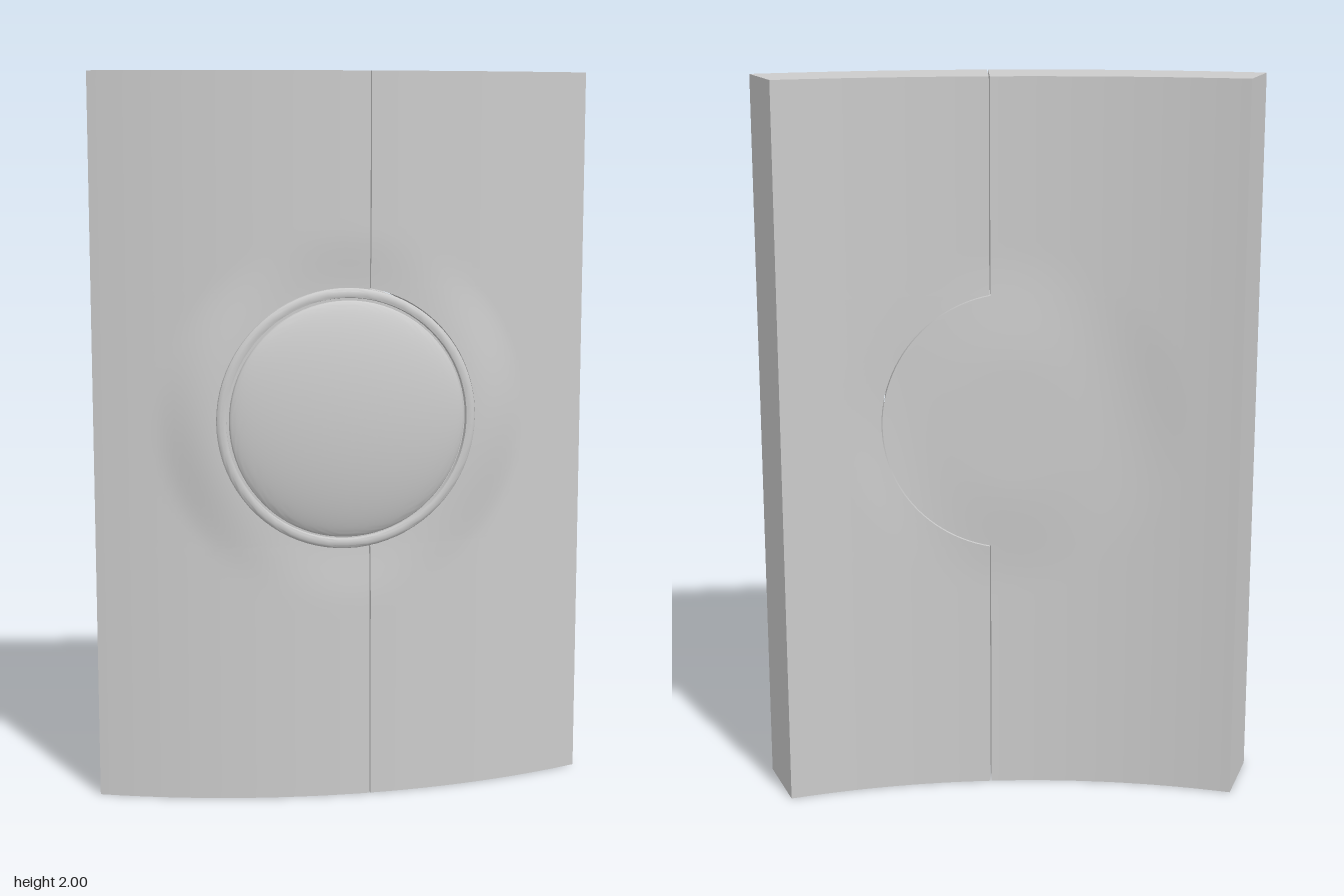
import * as THREE from 'three';
import { toCreasedNormals } from 'three/addons/utils/BufferGeometryUtils.js';

const CX = -0.01, CY = 1.065; // centre of the round boss
const HALF_FRONT = 0.69, HALF_BACK = 0.62;
const lerp = THREE.MathUtils.lerp, smooth = THREE.MathUtils.smoothstep;
const arc = (x, r, top) => top - r + Math.sqrt(r * r - x * x);

// Curved faces of the door, flattened around the boss
function frontZ(x, y) {
  const w = 1 - smooth(Math.hypot(x - CX, y - CY), 0.33, 0.52);
  return lerp(arc(x, 1.896, 0.13), 0.119, w);
}
function backZ(x, y) {
  const w = 1 - smooth(Math.hypot(x - CX, y - CY), 0.15, 0.48);
  return lerp(arc(x, 1.97, -0.1), -0.115, w);
}

// Row heights and seam positions: straight, round the boss, straight
function seamRows(seamX, radius) {
  const rows = [], a0 = Math.acos((seamX - CX) / radius), h = radius * Math.sin(a0);
  for (let i = 0; i < 24; i++) rows.push([(CY - h) * i / 24, seamX]);
  for (let i = 0; i <= 48; i++) {
    const a = lerp(-a0, a0, i / 48);
    rows.push([CY + radius * Math.sin(a), CX + radius * Math.cos(a)]);
  }
  for (let i = 1; i <= 24; i++) rows.push([lerp(CY + h, 2, i / 24), seamX]);
  return rows;
}

// Solid leaf: one closed cross-section per row, capped at top and bottom
function leafGeometry(side, seamX, radius) {
  const n = 44, L = 2 * (n + 1), pos = [], idx = [];
  const rows = seamRows(seamX, radius);
  for (const [y, seam] of rows) {
    const span = (half, t) => side < 0 ? lerp(-half, seam, t) : lerp(seam, half, t);
    for (let i = 0; i <= n; i++) {
      const x = span(HALF_FRONT, i / n);
      pos.push(x, y, frontZ(x, y));
    }
    for (let i = n; i >= 0; i--) {
      const x = span(HALF_BACK, i / n);
      pos.push(x, y, backZ(x, y));
    }
  }
  const quad = (a, b, c, d) => idx.push(a, b, c, a, c, d);
  for (let j = 0; j < rows.length - 1; j++) {
    for (let i = 0; i < L; i++) {
      const k = (i + 1) % L;
      quad(j * L + i, j * L + k, (j + 1) * L + k, (j + 1) * L + i);
    }
  }
  const top = (rows.length - 1) * L;
  for (let i = 0; i < n; i++) {
    quad(top + i, top + i + 1, top + L - 2 - i, top + L - 1 - i);
    quad(i, L - 1 - i, L - 2 - i, i + 1);
  }
  const g = new THREE.BufferGeometry();
  g.setAttribute('position', new THREE.Float32BufferAttribute(pos, 3));
  g.setIndex(idx);
  return toCreasedNormals(g, 0.6);
}

// Turned part whose axis points to the front
function turned(points) {
  const g = new THREE.LatheGeometry(points.map(([r, z]) => new THREE.Vector2(r, z)), 80);
  g.rotateX(Math.PI / 2);
  g.translate(CX, CY, 0);
  return toCreasedNormals(g, 0.6);
}

export function createModel() {
  const group = new THREE.Group();
  const material = new THREE.MeshStandardMaterial({ color: 0xcccccc });
  const add = (name, geometry) => {
    const mesh = new THREE.Mesh(geometry, material);
    mesh.name = name;
    group.add(mesh);
  };

  // Two door leaves that meet along the seam
  add('rightLeaf', leafGeometry(-1, 0.0535, 0.3585));
  add('leftLeaf', leafGeometry(1, 0.0565, 0.3615));

  // Raised rim with a groove on its inside
  add('bossRim', turned([
    [0.358, 0.1], [0.358, 0.13], [0.355, 0.134], [0.349, 0.137],
    [0.338, 0.138], [0.333, 0.136], [0.331, 0.122], [0.315, 0.122],
  ]));

  // Shallow dome
  const dome = [[0.324, 0.115], [0.324, 0.138]];
  for (let i = 1; i <= 24; i++) {
    const r = 0.324 * Math.cos(i / 24 * Math.PI / 2);
    dome.push([Math.max(r, 0), 0.138 + 0.055 * Math.pow(1 - (r / 0.324) ** 2, 0.7)]);
  }
  add('bossDome', turned(dome));

  return group;
}
